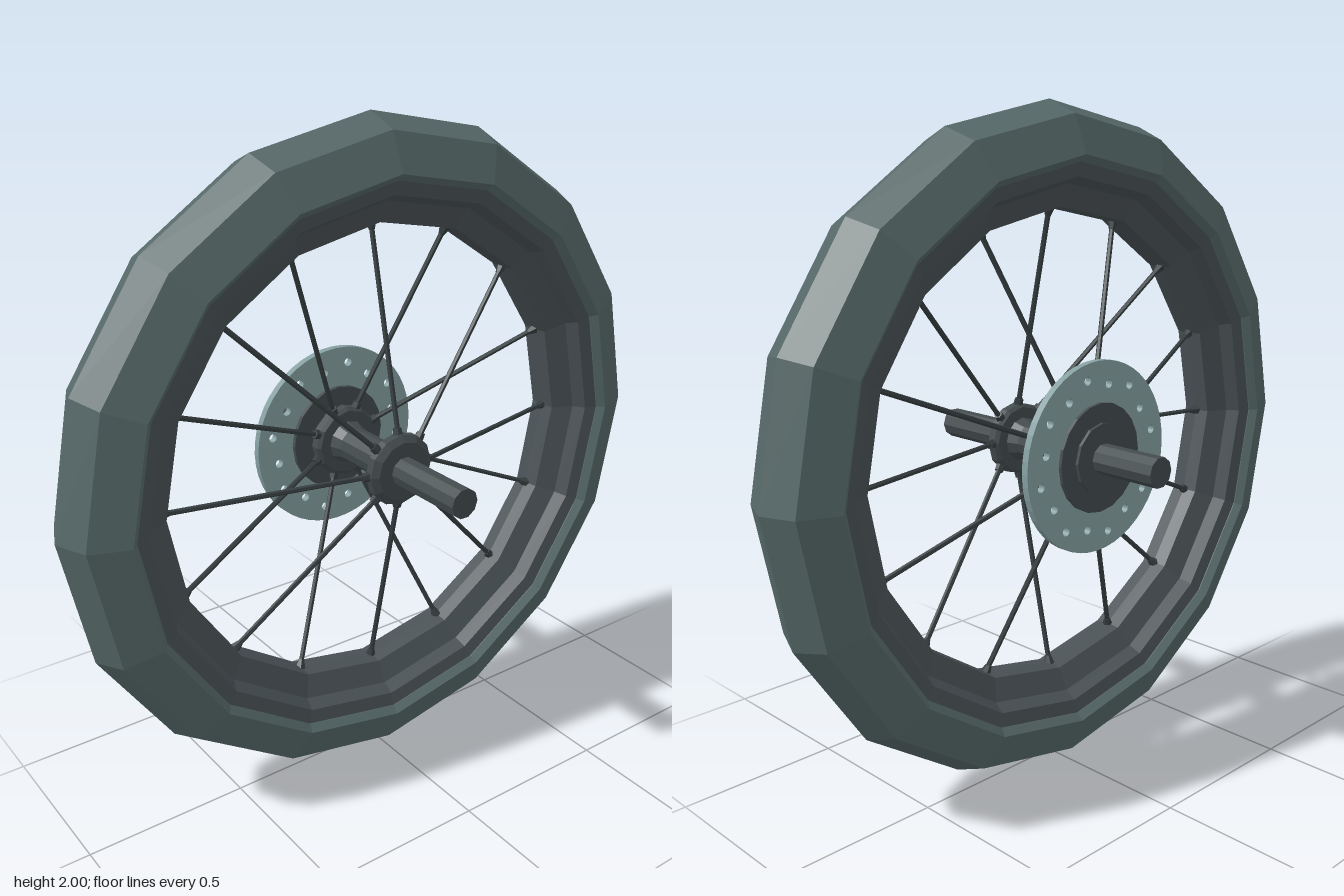
import * as THREE from 'three';

const material = (color) => new THREE.MeshStandardMaterial({ color, flatShading: true });
const rubber = material(0x566868);
const rimMetal = material(0x4a5256);
const hubMetal = material(0x434c4e);
const spokeMetal = material(0x363e40);
const discMetal = material(0x86a0a2);

// Turned part around the x axis; profile points are [radius, x]
function turned(name, profile, sides, mat) {
  const points = profile.map(([r, x]) => new THREE.Vector2(r, x));
  const geometry = new THREE.LatheGeometry(points, sides).rotateZ(-Math.PI / 2);
  const mesh = new THREE.Mesh(geometry, mat);
  mesh.name = name;
  return mesh;
}

// Solid round plate or bar from x0 to x1
const bar = (name, r, x0, x1, sides, mat) =>
  turned(name, [[0, x0], [r, x0], [r, x1], [0, x1]], sides, mat);

// Tapered rod between two points
function rod(name, a, b, ra, rb, mat) {
  const dir = b.clone().sub(a);
  const mesh = new THREE.Mesh(new THREE.CylinderGeometry(rb, ra, dir.length(), 6), mat);
  mesh.name = name;
  mesh.position.copy(a).add(b).multiplyScalar(0.5);
  mesh.quaternion.setFromUnitVectors(new THREE.Vector3(0, 1, 0), dir.normalize());
  return mesh;
}

// Brake disc with a ring of drilled holes and an open centre
function brakeDisc() {
  const shape = new THREE.Shape().absarc(0, 0, 0.283, 0, Math.PI * 2);
  shape.holes.push(new THREE.Path().absarc(0, 0, 0.13, 0, Math.PI * 2, true));
  for (let i = 0; i < 16; i++) {
    const a = ((i + 0.5) / 16) * Math.PI * 2;
    const r = i % 2 ? 0.235 : 0.215;
    shape.holes.push(new THREE.Path().absarc(r * Math.cos(a), r * Math.sin(a), 0.013, 0, Math.PI * 2, true));
  }
  const geometry = new THREE.ExtrudeGeometry(shape, { depth: 0.022, bevelEnabled: false, curveSegments: 24 });
  geometry.rotateY(Math.PI / 2);
  const mesh = new THREE.Mesh(geometry, discMetal);
  mesh.name = 'brakeDisc';
  mesh.position.x = -0.2;
  return mesh;
}

export function createModel() {
  const model = new THREE.Group();
  model.name = 'spokedWheel';
  const wheel = new THREE.Group();
  wheel.name = 'wheel';
  wheel.position.y = 1;
  model.add(wheel);

  // Tyre and rim, sixteen-sided
  wheel.add(turned('tyre', [
    [0.83, -0.125], [0.85, -0.145], [0.96, -0.1], [1, 0], [0.96, 0.1], [0.85, 0.145],
    [0.83, 0.125], [0.83, -0.125],
  ], 16, rubber));
  wheel.add(turned('rim', [
    [0.84, -0.125], [0.84, 0.125], [0.79, 0.112], [0.77, 0.075], [0.705, 0.045],
    [0.7, 0], [0.705, -0.045], [0.77, -0.075], [0.79, -0.112], [0.84, -0.125],
  ], 16, rimMetal));

  // Axle, hub barrel and the two spoke flanges
  wheel.add(bar('axle', 0.045, -0.435, 0.435, 10, hubMetal));
  wheel.add(turned('hubBarrel', [
    [0, -0.14], [0.075, -0.14], [0.055, -0.08], [0.055, 0.08], [0.075, 0.14], [0, 0.14],
  ], 12, hubMetal));
  for (const s of [-1, 1]) {
    const flange = turned('hubFlange', [
      [0, 0.115], [0.1, 0.115], [0.11, 0.125], [0.11, 0.15], [0.09, 0.165], [0, 0.165],
    ], 12, hubMetal);
    if (s < 0) flange.rotation.y = Math.PI;
    wheel.add(flange);
  }

  // Brake disc, its carrier and the outer cap
  wheel.add(brakeDisc());
  wheel.add(bar('discCarrier', 0.162, -0.21, -0.165, 20, hubMetal));
  wheel.add(bar('discCap', 0.105, -0.22, -0.205, 12, hubMetal));

  // Spokes alternate between the flanges, with a nipple at the rim
  for (let i = 0; i < 16; i++) {
    const a = (i / 16) * Math.PI * 2;
    const side = i % 2 ? -1 : 1;
    const at = (r, x) => new THREE.Vector3(x, r * Math.cos(a), r * Math.sin(a));
    const inner = at(0.1, 0.135 * side);
    const outer = at(0.705, 0);
    const along = (t) => inner.clone().lerp(outer, t);
    wheel.add(rod('spoke', inner, outer, 0.008, 0.008, spokeMetal));
    wheel.add(rod('spokeHead', inner, along(0.04), 0.016, 0.013, spokeMetal));
    wheel.add(rod('spokeNipple', along(0.955), outer, 0.009, 0.018, spokeMetal));
  }
  return model;
}
